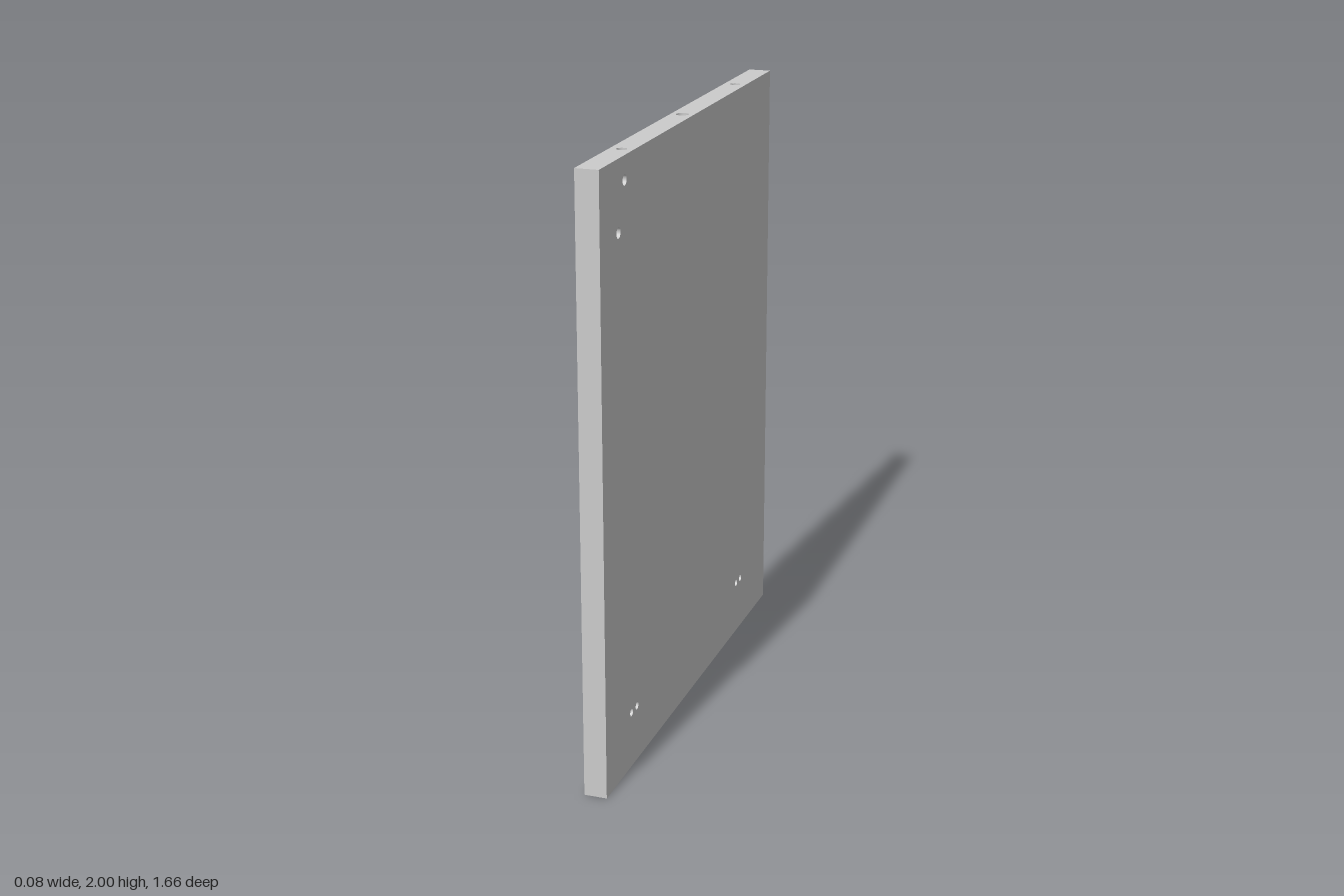
import * as THREE from 'three';

const W = 0.0375, H = 2, D = 0.83; // half thickness, height, half depth
const solid = new THREE.MeshStandardMaterial({ color: 0xcccccc });
const inner = new THREE.MeshStandardMaterial({ color: 0xcccccc, side: THREE.DoubleSide });

// Holes drilled right through the panel: z, y, radius
const through = [
  [0.624, 1.926, 0.017], [0.678, 1.78, 0.017],
  [0.603, 0.19, 0.013], [0.553, 0.19, 0.013],
  [-0.489, 0.19, 0.013], [-0.537, 0.19, 0.013],
];
// Blind round pocket in the -x face
const pocket = { z: 0, y: 1.863, r: 0.04, depth: 0.057 };
// Holes in the edges: z, radius, depth
const topHoles = [[-0.547, 0.0163, 0.12], [0, 0.0205, H - pocket.y - pocket.r], [0.547, 0.0163, 0.12]];
const bottomHoles = [[-0.62, 0.014, 0.12], [0.62, 0.014, 0.12]];

// Flat rectangle facing +z with round holes [x, y, r]
function plate(x0, y0, x1, y1, holes = []) {
  const s = new THREE.Shape();
  s.moveTo(x0, y0).lineTo(x1, y0).lineTo(x1, y1).lineTo(x0, y1).closePath();
  for (const [x, y, r] of holes) s.holes.push(new THREE.Path().absarc(x, y, r, 0, Math.PI * 2, true));
  return new THREE.ShapeGeometry(s, 16);
}

export function createModel() {
  const model = new THREE.Group();
  model.name = 'panel';
  const add = (name, geometry, material = solid) => {
    const mesh = new THREE.Mesh(geometry, material);
    mesh.name = name;
    model.add(mesh);
    return mesh;
  };
  const bore = (name, r, length) =>
    add(name, new THREE.CylinderGeometry(r, r, length, 32, 1, true), inner);

  // Broad faces
  add('leftFace', plate(-D, 0, D, H, through.map(([z, y, r]) => [-z, y, r]))
    .rotateY(Math.PI / 2).translate(W, 0, 0));
  add('rightFace', plate(-D, 0, D, H, [...through, [pocket.z, pocket.y, pocket.r]])
    .rotateY(-Math.PI / 2).translate(-W, 0, 0));

  // Narrow edges
  add('topEdge', plate(-W, -D, W, D, topHoles.map(([z, r]) => [0, -z, r]))
    .rotateX(-Math.PI / 2).translate(0, H, 0));
  add('bottomEdge', plate(-W, -D, W, D, bottomHoles.map(([z, r]) => [0, z, r]))
    .rotateX(Math.PI / 2));
  add('frontEdge', plate(-W, 0, W, H).translate(0, 0, D));
  add('backEdge', plate(-W, 0, W, H).rotateY(Math.PI).translate(0, 0, -D));

  // Walls of the through holes
  for (const [z, y, r] of through) {
    const hole = bore('throughHole', r, 2 * W);
    hole.rotation.z = Math.PI / 2;
    hole.position.set(0, y, z);
  }

  // Pocket wall and floor
  const wall = bore('pocketWall', pocket.r, pocket.depth);
  wall.rotation.z = Math.PI / 2;
  wall.position.set(-W + pocket.depth / 2, pocket.y, pocket.z);
  add('pocketFloor', new THREE.CircleGeometry(pocket.r, 32).rotateY(-Math.PI / 2)
    .translate(-W + pocket.depth, pocket.y, pocket.z));

  // Blind holes in the top (dir -1, drilled down) and bottom (dir 1, drilled up) edges
  const drill = (name, holes, y, dir) => {
    for (const [z, r, depth] of holes) {
      bore(name, r, depth).position.set(0, y + dir * depth / 2, z);
      add(name + 'End', new THREE.CircleGeometry(r, 32).rotateX(dir * Math.PI / 2)
        .translate(0, y + dir * depth, z), inner);
    }
  };
  drill('topHole', topHoles, H, -1);
  drill('bottomHole', bottomHoles, 0, 1);

  return model;
}
